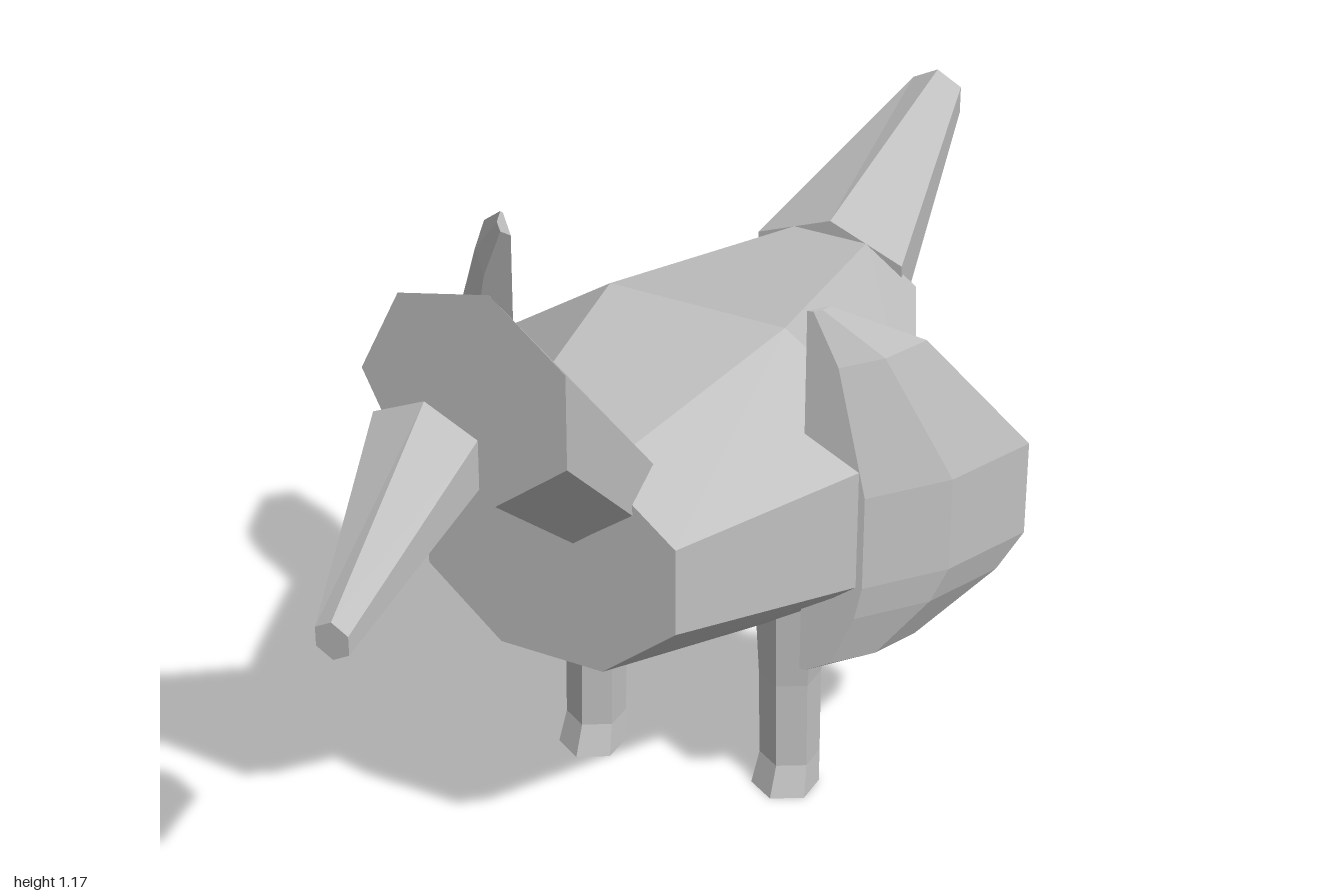
import * as THREE from 'three';

const grey = new THREE.MeshStandardMaterial({ color: 0xc0c0c0, flatShading: true });
grey.name = 'plain grey';

// Skins a list of equal-length rings of [x, y, z] points and closes both ends.
function loft(name, rings) {
  const n = rings[0].length;
  const tris = [];
  for (let i = 0; i + 1 < rings.length; i++) {
    const a = rings[i], b = rings[i + 1];
    for (let j = 0; j < n; j++) {
      const k = (j + 1) % n;
      tris.push([a[j], a[k], b[k]], [a[j], b[k], b[j]]);
    }
  }
  const first = rings[0], last = rings[rings.length - 1];
  for (let j = 1; j + 1 < n; j++) {
    tris.push([first[0], first[j + 1], first[j]], [last[0], last[j], last[j + 1]]);
  }
  // Turn the faces outwards if the enclosed volume is negative.
  let volume = 0;
  const [p, q, r] = [new THREE.Vector3(), new THREE.Vector3(), new THREE.Vector3()];
  for (const t of tris) {
    p.fromArray(t[0]); q.fromArray(t[1]); r.fromArray(t[2]);
    volume += p.dot(q.cross(r));
  }
  if (volume < 0) tris.forEach((t) => t.reverse());
  const geometry = new THREE.BufferGeometry();
  geometry.setAttribute('position', new THREE.Float32BufferAttribute(tris.flat(2), 3));
  geometry.computeVertexNormals();
  const mesh = new THREE.Mesh(geometry, grey);
  mesh.name = name;
  return mesh;
}

// Regular ring facing z, starting at the given angle.
function ring(sides, start, x, y, z, rx, ry) {
  return Array.from({ length: sides }, (_, i) => {
    const a = start + (i / sides) * Math.PI * 2;
    return [x + rx * Math.cos(a), y + ry * Math.sin(a), z];
  });
}

// Horizontal hexagon for the legs.
function flatRing(x, y, z, r) {
  return ring(6, Math.PI / 2, x, z, y, r, r).map(([a, b, c]) => [a, c, b]);
}

// Eight-sided body section: side half width, top half width, four heights.
function bodyRing(z, w, t, low, midLow, midHigh, high) {
  return [
    [w, midLow, z], [w, midHigh, z], [t, high, z], [-t, high, z],
    [-w, midHigh, z], [-w, midLow, z], [-t, low, z], [t, low, z],
  ];
}

// Curved blade: a crescent plan [x, z] shrunk towards its inner front edge.
function wing(name, side, levels) {
  const plan = [
    [0.24, 0.055], [0.33, 0.038], [0.42, -0.07],
    [0.478, -0.215], [0.447, -0.2], [0.36, -0.07], [0.305, 0.015],
  ];
  const [ix, iz] = plan[0];
  return loft(name, levels.map(([y, reach]) =>
    plan.map(([x, z]) => [side * (ix + (x - ix) * reach), y, iz + (z - iz) * reach])));
}

export function createModel() {
  const group = new THREE.Group();
  group.name = 'bird';

  group.add(loft('body', [
    bodyRing(0.375, 0.2, 0.083, 0.455, 0.555, 0.695, 0.79),
    bodyRing(-0.07, 0.36, 0.145, 0.3, 0.45, 0.665, 0.81),
    bodyRing(-0.54, 0.145, 0.06, 0.5, 0.54, 0.65, 0.71),
  ]));

  // Seven-sided neck cut upright at both ends
  group.add(loft('neck', [
    ring(7, Math.PI, 0.005, 0.705, 0.285, 0.13, 0.125),
    ring(7, Math.PI, 0.013, 1.007, 0.6, 0.163, 0.164),
  ]));

  // Beak hangs free in front of the neck
  group.add(loft('beak', [
    ring(6, Math.PI / 2, 0.018, 0.988, 0.715, 0.09, 0.073),
    ring(6, Math.PI / 2, 0.05, 0.874, 1, 0.028, 0.028),
  ]));

  group.add(loft('tail', [
    ring(6, Math.PI / 2, 0, 0.638, -0.525, 0.145, 0.1),
    ring(6, Math.PI / 2, -0.032, 0.748, -1, 0.05, 0.046),
  ]));

  // Legs, the left one standing a little further back
  for (const [name, side, z] of [['leftLeg', 1, -0.083], ['rightLeg', -1, -0.038]]) {
    group.add(loft(name, [
      flatRing(side * 0.16, 0, z + 0.014, 0.053),
      flatRing(side * 0.16, 0.05, z, 0.047),
      flatRing(side * 0.158, 0.2, z, 0.048),
      flatRing(side * 0.163, 0.38, z + 0.005, 0.06),
    ]));
  }

  group.add(wing('leftWing', 1, [
    [0.925, 0.1], [0.84, 0.52], [0.63, 1], [0.475, 1], [0.42, 0.88], [0.335, 0.52], [0.315, 0.1],
  ]));
  group.add(wing('rightWing', -1, [
    [0.925, 0.22], [0.84, 0.6], [0.68, 0.95], [0.555, 1], [0.425, 0.95], [0.335, 0.6], [0.315, 0.22],
  ]));

  return group;
}
